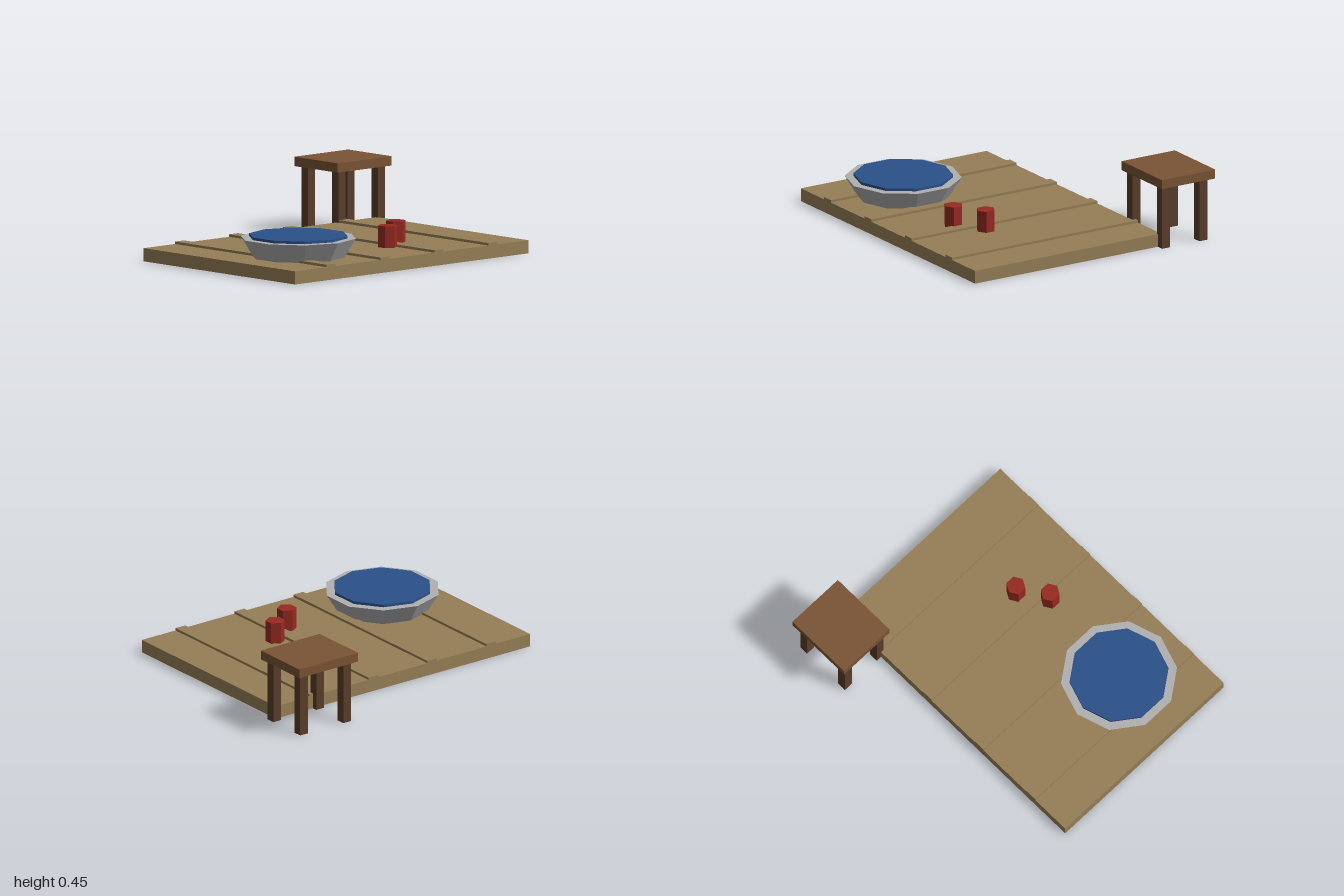
import * as THREE from 'three';

const mat = (name, color) => {
  const m = new THREE.MeshStandardMaterial({ color, flatShading: true });
  m.name = name;
  return m;
};

export function createModel() {
  const deckWood = mat('deck wood', 0x967f57);
  const seatWood = mat('seat wood', 0x7a5435);
  const legWood = mat('dark leg wood', 0x5a3e2b);
  const metal = mat('grey metal', 0xb0b0b0);
  const water = mat('blue water', 0x2b5189);
  const red = mat('red', 0x982a22);

  const model = new THREE.Group();
  const add = (parent, name, geometry, material, x, y, z) => {
    const mesh = new THREE.Mesh(geometry, material);
    mesh.name = name;
    mesh.position.set(x, y, z);
    parent.add(mesh);
  };
  // Box given by its extents on each axis
  const box = (parent, name, material, [x0, x1], [y0, y1], [z0, z1]) =>
    add(parent, name, new THREE.BoxGeometry(x1 - x0, y1 - y0, z1 - z0), material,
      (x0 + x1) / 2, (y0 + y1) / 2, (z0 + z1) / 2);
  // Upright prism standing between y0 and y1
  const prism = (parent, name, material, rTop, rBottom, sides, x, y0, y1, z) =>
    add(parent, name, new THREE.CylinderGeometry(rTop, rBottom, y1 - y0, sides), material,
      x, (y0 + y1) / 2, z);
  const group = (name) => {
    const g = new THREE.Group();
    g.name = name;
    model.add(g);
    return g;
  };

  // Deck with four raised battens
  const deck = group('deck');
  box(deck, 'platform', deckWood, [-1, 0.92], [0, 0.08], [-0.5, 0.835]);
  for (const x of [-0.706, -0.261, 0.184, 0.629])
    box(deck, 'batten', deckWood, [x - 0.037, x + 0.037], [0.07, 0.095], [-0.5, 0.835]);

  // Ten-sided tub, filled with water that stands just above the rim
  const tub = group('tub');
  prism(tub, 'basin', metal, 0.353, 0.282, 10, -0.557, 0.08, 0.197, 0.388);
  prism(tub, 'waterSurface', water, 0.301, 0.301, 10, -0.557, 0.19, 0.213, 0.388);

  // Two hexagonal cups
  const cups = group('cups');
  for (const [x, z] of [[0.11, 0.462], [0.286, 0.345]])
    prism(cups, 'cup', red, 0.059, 0.059, 6, x, 0.08, 0.212, z);

  // Stool behind the corner of the deck
  const stool = group('stool');
  box(stool, 'seat', seatWood, [0.556, 1], [0.39, 0.447], [-0.838, -0.455]);
  for (const x of [0.612, 0.938])
    for (const z of [-0.507, -0.775])
      box(stool, 'leg', legWood, [x - 0.029, x + 0.029], [0, 0.39], [z - 0.029, z + 0.029]);

  return model;
}
